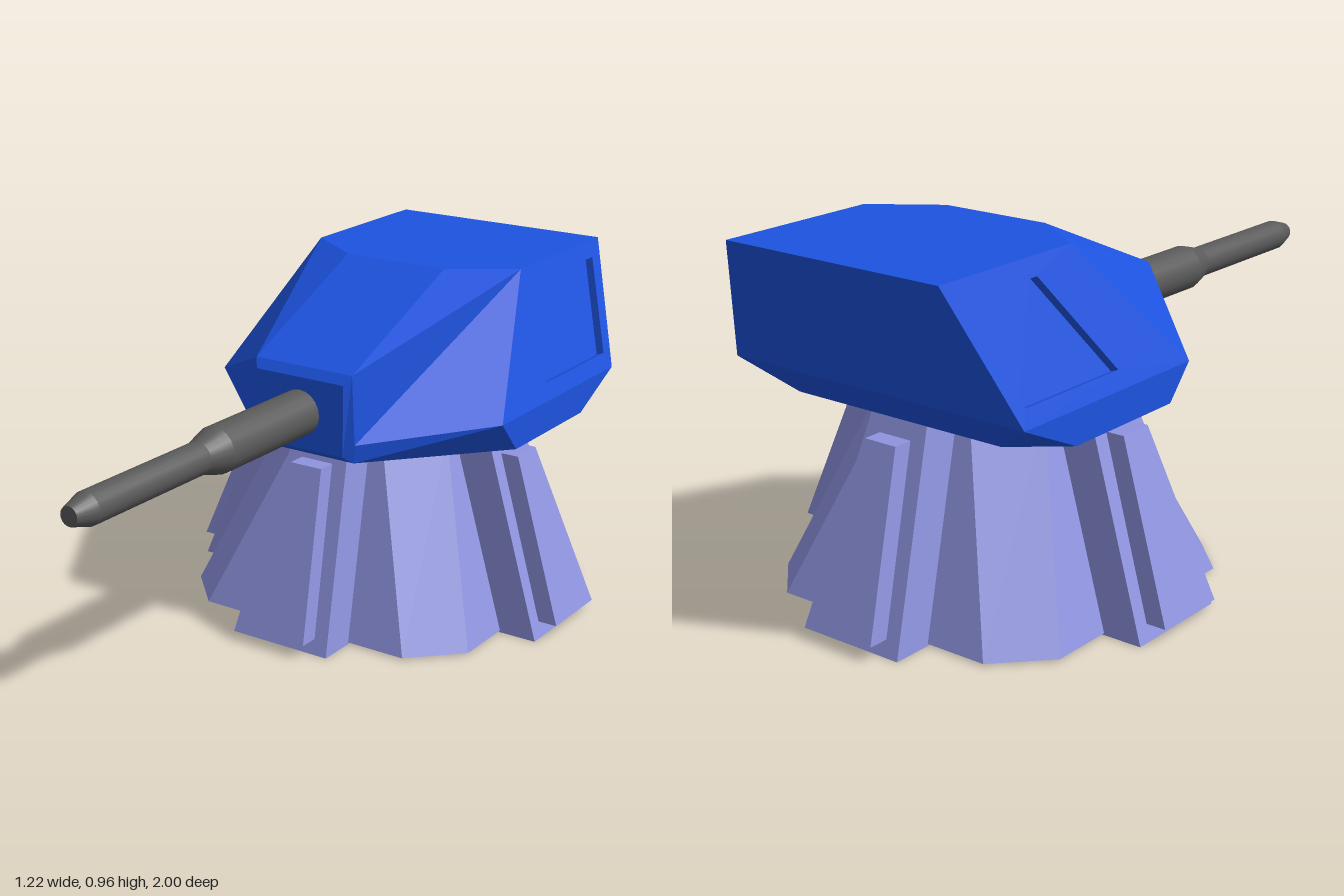
import * as THREE from 'three';

const paint = (color, extra = {}) => new THREE.MeshStandardMaterial({ color, ...extra });

// Flat-shaded mesh from convex faces, corners counter-clockwise from outside
function faceMesh(name, faces, material) {
  const pos = [];
  for (const f of faces)
    for (let i = 1; i < f.length - 1; i++) pos.push(...f[0], ...f[i], ...f[i + 1]);
  const g = new THREE.BufferGeometry();
  g.setAttribute('position', new THREE.Float32BufferAttribute(pos, 3));
  g.computeVertexNormals();
  const mesh = new THREE.Mesh(g, material);
  mesh.name = name;
  return mesh;
}

// Tapered block between two rings of [x, z] corners
function frustum(name, low, high, y0, y1, material) {
  const a = low.map(([x, z]) => [x, y0, z]);
  const b = high.map(([x, z]) => [x, y1, z]);
  const faces = a.map((p, i) => {
    const j = (i + 1) % a.length;
    return [p, a[j], b[j], b[i]];
  });
  return faceMesh(name, [...faces, b, [...a].reverse()], material);
}

const octagon = (s, l) => [[-s, l], [s, l], [l, s], [l, -s], [s, -l], [-s, -l], [-l, -s], [-l, s]];
const slab = (w, outer, inner) => [[-w, outer], [w, outer], [w, inner], [-w, inner]];

function createBase() {
  const base = new THREE.Group();
  base.name = 'base';
  base.position.z = -0.39;
  const mat = paint(0x8f94e0, { flatShading: true });
  base.add(frustum('pedestal', octagon(0.33, 0.46), octagon(0.13, 0.26), 0.005, 0.53, mat));
  // Four buttresses, each with a raised panel
  for (let k = 0; k < 4; k++) {
    const side = new THREE.Group();
    side.name = 'buttress';
    side.rotation.y = k * Math.PI / 2;
    side.add(
      frustum('rib', slab(0.155, 0.57, 0.3), slab(0.09, 0.37, 0.12), 0, 0.53, mat),
      frustum('ribPanel', slab(0.108, 0.61, 0.5), slab(0.05, 0.44, 0.33), 0.04, 0.485, mat));
    base.add(side);
  }
  return base;
}

function createTurret() {
  const m = ([x, y, z]) => [-x, y, z];
  // Left-hand corners: roof, widest line, bottom, nose
  const roofBack = [0.335, 0.965, -0.98], roofSide = [0.335, 0.965, -0.51], roofFront = [0.16, 0.965, -0.39];
  const wideFront = [0.465, 0.62, -0.2], wideBack = [0.465, 0.62, -0.85];
  const lowFront = [0.465, 0.53, -0.28], lowBack = [0.465, 0.53, -0.66], lowTail = [0.33, 0.53, -0.77];
  const noseLow = [0.165, 0.53, 0.065], noseMid = [0.168, 0.58, 0.065], noseTop = [0.155, 0.77, 0.06];
  const tipLow = [0.14, 0.545, 0.08], tipTop = [0.14, 0.745, 0.08];

  // Recessed panel lying in the sloping side
  const outer = [wideFront, wideBack, roofBack, roofSide];
  const rim = [[0.665, -0.475], [0.665, -0.825], [0.92, -0.915], [0.92, -0.66]]
    .map(([y, z]) => [0.335 + (0.965 - y) * 0.13 / 0.345, y, z]);
  const floor = rim.map(([x, y, z]) => [x - 0.0215, y - 0.008, z]);

  const half = [
    floor,
    [noseMid, wideFront, roofSide, noseTop],
    [noseTop, roofSide, roofFront],
    [noseLow, lowFront, wideFront, noseMid],
    [lowFront, lowBack, wideBack, wideFront],
    [lowBack, lowTail, wideBack],
    [tipLow, noseLow, noseMid, noseTop, tipTop],
  ];
  for (let i = 0; i < 4; i++) {
    const j = (i + 1) % 4;
    half.push([outer[i], outer[j], rim[j], rim[i]], [rim[i], rim[j], floor[j], floor[i]]);
  }
  const middle = [
    [m(noseTop), noseTop, roofFront, m(roofFront)],
    [m(roofFront), roofFront, roofSide, roofBack, m(roofBack), m(roofSide)],
    [roofBack, wideBack, m(wideBack), m(roofBack)],
    [wideBack, lowTail, m(lowTail), m(wideBack)],
    [noseLow, m(noseLow), m(lowFront), m(lowBack), m(lowTail), lowTail, lowBack, lowFront],
    [m(tipLow), tipLow, tipTop, m(tipTop)],
    [m(tipTop), tipTop, noseTop, m(noseTop)],
    [m(noseLow), noseLow, tipLow, m(tipLow)],
  ];
  const mirrored = half.map(f => f.map(m).reverse());
  return faceMesh('turret', [...half, ...mirrored, ...middle], paint(0x1d53e0, { flatShading: true }));
}

function createBarrel() {
  // Stepped tube sections: [rear radius, front radius, rear z, front z]
  const barrel = new THREE.Group();
  barrel.name = 'barrel';
  const mat = paint(0x5a5a5a);
  const sections = [
    [0.064, 0.064, 0, 0.45], [0.064, 0.044, 0.45, 0.52],
    [0.044, 0.044, 0.52, 0.94], [0.044, 0.026, 0.94, 1.0],
  ];
  sections.forEach(([r0, r1, z0, z1], i) => {
    const g = new THREE.CylinderGeometry(r1, r0, z1 - z0, 20, 1, i < 3);
    g.rotateX(Math.PI / 2).translate(0, 0.646, (z0 + z1) / 2);
    const mesh = new THREE.Mesh(g, mat);
    mesh.name = ['barrelSleeve', 'barrelStep', 'barrelTube', 'muzzle'][i];
    barrel.add(mesh);
  });
  return barrel;
}

export function createModel() {
  const model = new THREE.Group();
  model.name = 'gunTurret';
  model.add(createBase(), createTurret(), createBarrel());
  return model;
}
